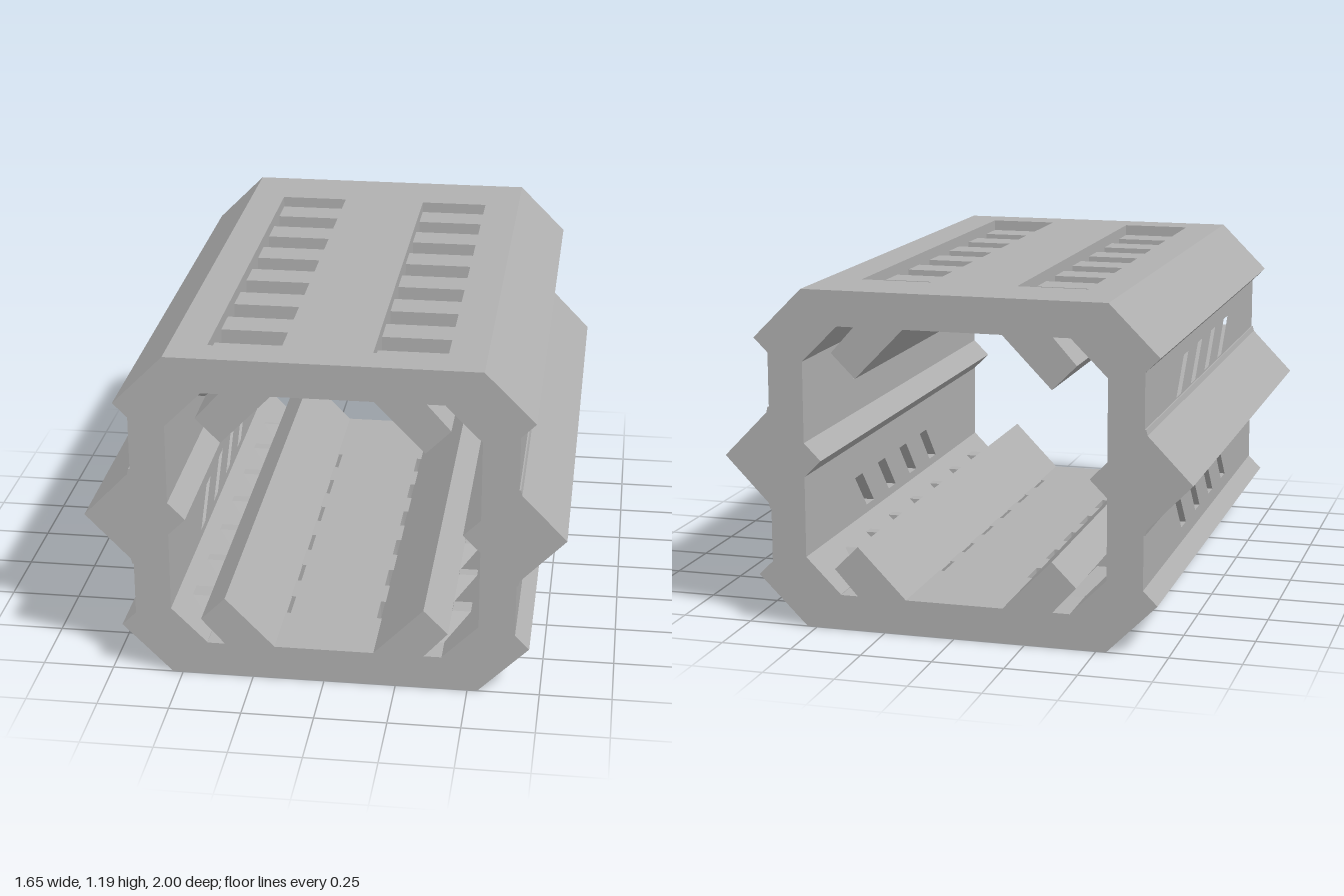
import * as THREE from 'three';

const H = 1.19; // overall height

export function createModel() {
  const model = new THREE.Group();
  const grey = new THREE.MeshStandardMaterial({ color: 0xb0b0b0 });

  const toShape = (pts) => new THREE.Shape(pts.map(([a, b]) => new THREE.Vector2(a, b)));
  const extrude = (pts, depth, holes = []) => {
    const shape = toShape(pts);
    shape.holes = holes.map(toShape);
    return new THREE.ExtrudeGeometry(shape, { depth, bevelEnabled: false });
  };
  const add = (name, geometry) => {
    const mesh = new THREE.Mesh(geometry, grey);
    mesh.name = name;
    model.add(mesh);
  };
  const rect = (a0, b0, a1, b1) => [[a0, b0], [a1, b0], [a1, b1], [a0, b1]];

  // Cross-section (x, y) along z, mirrored to a quadrant by sx and sy
  const alongZ = (pts, z0, z1, sx, sy) =>
    extrude(pts.map(([x, y]) => [x * sx, sy > 0 ? y : H - y]), z1 - z0).translate(0, 0, z0);
  // Profile (z, y) along x
  const alongX = (pts, x0, x1, sx, sy, holes = []) => {
    const flip = (list) => list.map(([z, y]) => [-z, sy > 0 ? y : H - y]);
    return extrude(flip(pts), x1 - x0, holes.map(flip))
      .rotateY(Math.PI / 2).translate(sx > 0 ? x0 : -x1, 0, 0);
  };
  // Plan (x, z) between two heights
  const alongY = (pts, y0, y1, sy, holes) =>
    extrude(pts, y1 - y0, holes).rotateX(Math.PI / 2).translate(0, sy > 0 ? y1 : H - y0, 0);

  const slotStarts = [0, 1, 2, 3, 4, 5].map((k) => -0.625 + 0.25 * k);
  const slotLength = 0.125;

  // Solid stretches between the slots
  const solids = [[-1, -0.625]];
  slotStarts.forEach((s, k) => solids.push([s + slotLength, k < 5 ? slotStarts[k + 1] : 1]));

  const corner = [[0.41, 1.19], [0.535, 1.19], [0.71, 1.015], [0.66, 0.965], [0.66, 0.94], [0.535, 0.94], [0.41, 1.065]];
  const ridge = [[0.535, 0.775], [0.665, 0.775], [0.67, 0.755], [0.825, 0.595], [0.67, 0.435], [0.665, 0.415],
    [0.535, 0.415], [0.535, 0.535], [0.475, 0.595], [0.535, 0.655]];
  const rail = [[0.17, 1.07], [0.345, 0.89], [0.43, 0.975], [0.345, 1.07]];
  const trough = [[0.17, 1.07], [0.345, 0.89], [0.43, 0.975], [0.4, 1.005], [0.38, 0.97], [0.31, 0.97], [0.25, 1.07]];
  const bridge = [[0.345, 1.07], [0.43, 0.98], [0.495, 0.98], [0.405, 1.07]];

  for (const sy of [1, -1]) {
    // Top and bottom plates: shallow pockets over rows of slots
    const outline = rect(-0.41, -1, 0.41, 1);
    const pockets = [], slots = [];
    for (const sx of [1, -1]) {
      pockets.push(rect(sx * 0.155, -0.75, sx * 0.405, 0.875));
      for (const s of slotStarts) slots.push(rect(sx * 0.155, s, sx * 0.405, s + slotLength));
    }
    add('platePocketLayer', alongY(outline, 1.15, 1.19, sy, pockets));
    add('plateSlotLayer', alongY(outline, 1.067, 1.15, sy, slots));

    for (const sx of [1, -1]) {
      add('chamferedCorner', alongZ(corner, -1, 1, sx, sy));

      // Side wall with slanted vents
      const vents = [0, 1, 2, 3].map((k) => {
        const z = 0.45 - 0.25 * k;
        return [[z, 0.91], [z - 0.08, 0.91], [z - 0.2, 0.78], [z - 0.12, 0.78]];
      });
      add('ventedSideWall', alongX(rect(-1, 0.765, 1, 0.94), 0.535, 0.66, sx, sy, vents));

      // Inner rail, hollowed below each slot
      solids.forEach(([z0, z1]) => add('innerRail', alongZ(rail, z0, z1, sx, sy)));
      slotStarts.forEach((s, k) => {
        add('slotTrough', alongZ(trough, s, s + slotLength, sx, sy));
        const run = k % 2 ? 0.035 : 0.085;
        add('slotRamp', alongX([[s, 1.069], [s, 0.969], [s + run, 0.969]], 0.27, 0.395, sx, sy));
      });

      // Bridges joining rail and corner, with sloping ends
      solids.forEach(([a, b], i) => {
        const z0 = Math.max(a, -0.8), z1 = Math.min(b, 0.9);
        const geometry = alongZ(bridge, z0, z1, sx, sy);
        const p = geometry.attributes.position;
        for (let v = 0; v < p.count; v++) {
          const y = sy > 0 ? p.getY(v) : H - p.getY(v);
          const drop = 0.9 * (1.07 - y);
          if (p.getZ(v) > (z0 + z1) / 2) p.setZ(v, p.getZ(v) - drop);
          else if (i === 0) p.setZ(v, p.getZ(v) + drop);
        }
        const flat = geometry.toNonIndexed();
        flat.computeVertexNormals();
        add('railBridge', flat);
      });
    }
  }

  // Pointed ridges along both sides
  for (const sx of [1, -1]) add('sideRidge', alongZ(ridge, -1, 1, sx, 1));

  return model;
}
